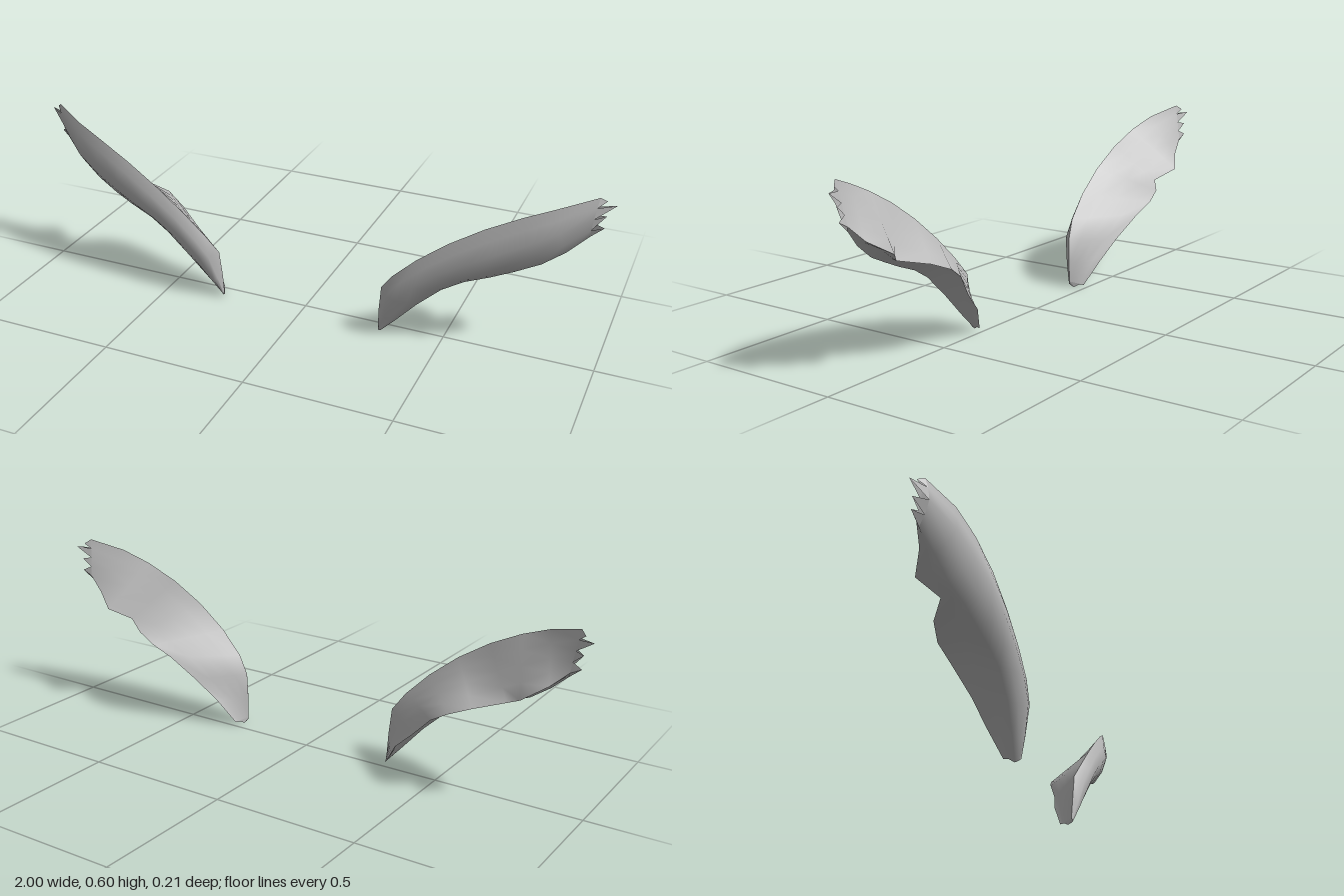
import * as THREE from 'three';

// Stations from the narrow inner foot to the ragged outer end:
// top edge xyz, bulge z, lower edge xyz, back flange xyz
const STATIONS = [
  [.288, .02, .055, .06, .295, .0, .04, .31, .01, .008],
  [.290, .09, .060, .08, .345, .055, .05, .365, .095, -.028],
  [.298, .18, .065, .103, .42, .14, .06, .44, .165, -.05],
  [.340, .24, .080, .108, .50, .215, .06, .52, .245, -.088],
  [.420, .32, .088, .107, .57, .255, .05, .585, .285, -.106],
  [.520, .40, .088, .103, .65, .285, .04, .66, .315, -.09],
  [.630, .47, .080, .093, .72, .315, .03, .745, .335, -.035],
  [.740, .525, .065, .073, .80, .35, .01, .81, .375, -.088],
  [.840, .565, .042, .05, .87, .40, -.005, .88, .42, -.048],
  [.950, .60, -.01, .002, .93, .455, -.03, .935, .47, -.036],
];
// Points of the torn outer end, from top to bottom
const TIPS = [[.97, .585, -.025], [1, .572, -.035], [.972, .53, -.036], [.97, .488, -.038]];

const v = (a, i = 0) => new THREE.Vector3(a[i], a[i + 1], a[i + 2]);
const mix = (a, b, t, dy = 0, dz = 0) => {
  const p = a.clone().lerp(b, t);
  p.y += dy;
  p.z += dz;
  return p;
};

// Front and underside: convex band, lower edge, hollow underside, flange
function outerRow(s) {
  const top = v(s), low = v(s, 4), back = v(s, 7);
  const bulge = (t, k) => {
    const p = mix(top, low, t);
    p.z += (s[3] - p.z) * k;
    return p;
  };
  const hollow = Math.min(.02, Math.abs(low.z - back.z) * .15);
  return [top, bulge(.22, .85), bulge(.48, 1), bulge(.78, .5), low, mix(low, back, .5, hollow), back];
}

// Broad inner face: from the flange up to the top edge
function innerRow(s) {
  const top = v(s), back = v(s, 7);
  return [0, .25, .5, .75, 1].map((t) => mix(back, top, t));
}

// Smooth surface through rows of points, on either side of the model
function loft(rows, side) {
  const n = rows[0].length, pos = [], index = [];
  rows.forEach((r) => r.forEach((p) => pos.push(side * p.x, p.y, p.z)));
  for (let i = 0; i < rows.length - 1; i++) {
    for (let k = 0; k < n - 1; k++) {
      const a = i * n + k, b = a + 1, c = a + n, d = c + 1;
      if (side > 0) index.push(a, b, c, b, d, c);
      else index.push(a, c, b, b, c, d);
    }
  }
  return finish(pos, index);
}

function finish(pos, index) {
  const g = new THREE.BufferGeometry();
  g.setAttribute('position', new THREE.Float32BufferAttribute(pos, 3));
  if (index) g.setIndex(index);
  g.computeVertexNormals();
  return g;
}

// Separate flat triangles
function facets(tris, side) {
  const pos = [];
  tris.forEach(([a, b, c]) => (side > 0 ? [a, b, c] : [a, c, b])
    .forEach((p) => pos.push(side * p.x, p.y, p.z)));
  return finish(pos);
}

export function createModel() {
  const model = new THREE.Group();
  model.name = 'curvedShellPair';
  const grey = new THREE.MeshStandardMaterial({ color: 0xbbbbbb, side: THREE.DoubleSide });
  grey.name = 'grey';

  const outer = STATIONS.map(outerRow), inner = STATIONS.map(innerRow);

  // Foot cap closes the narrow end
  const foot = [...outer[0], ...inner[0].slice(1, -1)];
  const cap = [];
  for (let i = 1; i < foot.length - 1; i++) cap.push([foot[0], foot[i + 1], foot[i]]);

  // Splinters on the outer end, with a front and a back facet each
  const f = outer.at(-1), b = inner.at(-1);
  const splinters = TIPS.flatMap((t, j) => {
    const tip = v(t);
    return [[f[j], f[j + 1], tip], [b[3 - j], b[4 - j], tip]];
  });
  splinters.push([f[4], f[5], v(TIPS[3])], [f[5], f[6], v(TIPS[3])]);

  for (const side of [1, -1]) {
    const shell = new THREE.Group();
    shell.name = side > 0 ? 'leftShell' : 'rightShell';
    const add = (name, geometry) => {
      const mesh = new THREE.Mesh(geometry, grey);
      mesh.name = name;
      shell.add(mesh);
    };
    add('outerBand', loft(outer, side));
    add('innerFace', loft(inner, side));
    add('footCap', facets(cap, side));
    add('splinteredEnd', facets(splinters, side));
    model.add(shell);
  }
  return model;
}
